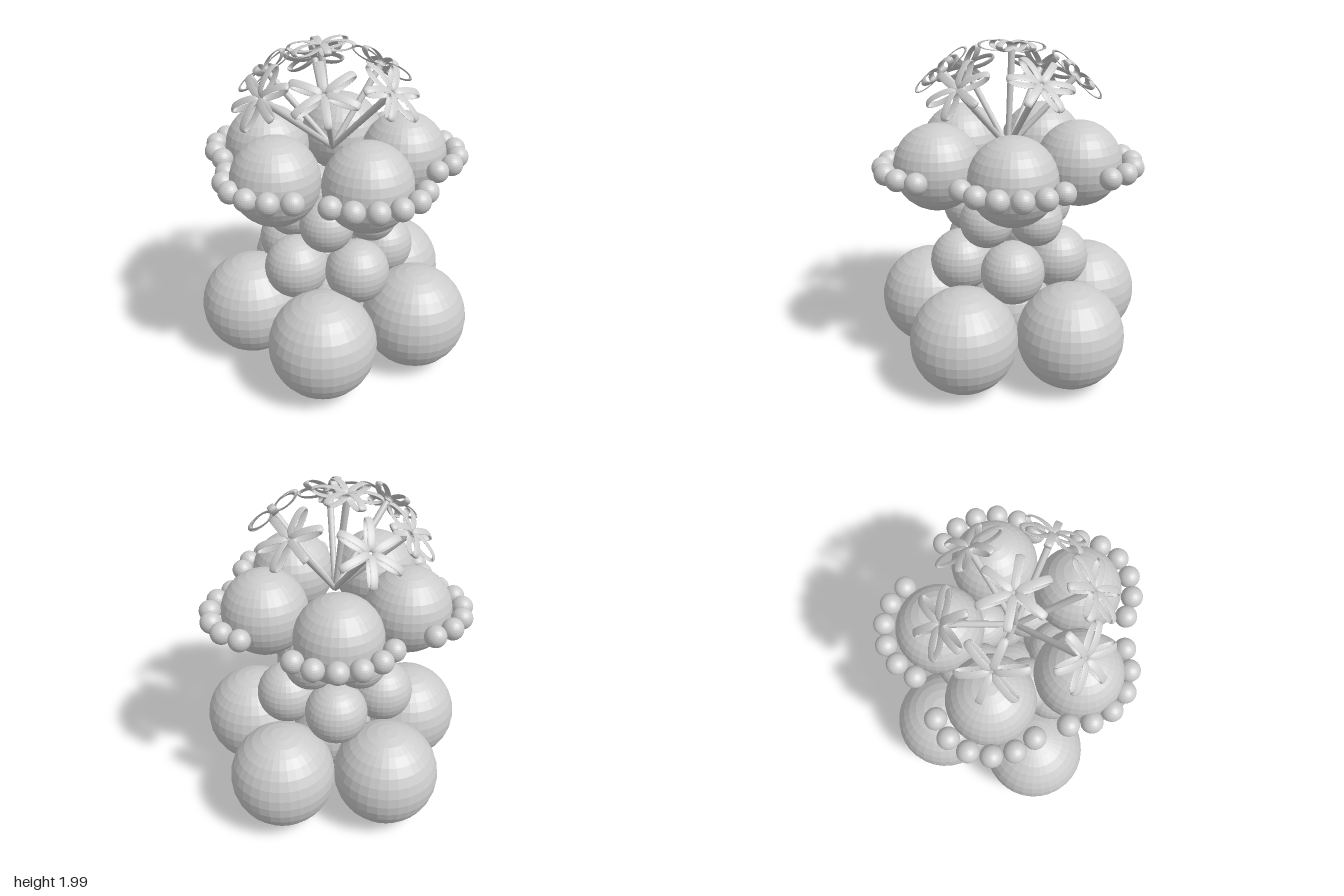
import * as THREE from 'three';

const material = new THREE.MeshStandardMaterial({ color: 0xcccccc, flatShading: true });
const smooth = new THREE.MeshStandardMaterial({ color: 0xcccccc });

function add(parent, name, geometry, mat, x = 0, y = 0, z = 0) {
  const mesh = new THREE.Mesh(geometry, mat);
  mesh.name = name;
  mesh.position.set(x, y, z);
  parent.add(mesh);
  return mesh;
}

// Five balls in a ring; facing +1 puts a single ball at the front, -1 at the back
function ballRing(name, radius, ringRadius, y, z, facing) {
  const ring = new THREE.Group();
  ring.name = name;
  const geometry = new THREE.SphereGeometry(radius, 32, 16);
  for (let i = 0; i < 5; i++) {
    const a = (i * Math.PI * 2) / 5;
    add(ring, 'ball', geometry, material,
      Math.sin(a) * ringRadius, y, z + facing * Math.cos(a) * ringRadius);
  }
  return ring;
}

// Arc of six beads, angle in degrees measured from +x towards +z
function beadArc(x, z, angle) {
  const arc = new THREE.Group();
  arc.name = 'beadArc';
  const geometry = new THREE.SphereGeometry(0.064, 32, 16);
  for (let i = 0; i < 6; i++) {
    const a = THREE.MathUtils.degToRad(angle + (i - 2.5) * 22.7);
    add(arc, 'bead', geometry, material,
      x + Math.cos(a) * 0.33, 1.29, z + Math.sin(a) * 0.33);
  }
  return arc;
}

// Flower head of six looped ribbon petals on a stem
const stemBase = new THREE.Vector3(0, 1.36, 0.05);
const petalGeometry = new THREE.TorusGeometry(1, 0.1, 10, 36);
petalGeometry.scale(0.088, 0.027, 0.22);
// The ring is flattened into a loop, so thicken its walls along the short axis
const pos = petalGeometry.attributes.position;
for (let i = 0; i < pos.count; i++) {
  pos.setY(i, pos.getY(i) * 1.05);
}
petalGeometry.computeVertexNormals();

function flower(x, y, z, turn) {
  const group = new THREE.Group();
  group.name = 'flower';
  const hub = new THREE.Vector3(x, y, z);
  const axis = hub.clone().sub(stemBase);
  const length = axis.length();
  axis.normalize();
  const up = new THREE.Vector3(0, 1, 0);

  const stem = add(group, 'stem', new THREE.CylinderGeometry(0.021, 0.016, length, 12), smooth);
  stem.position.copy(hub).add(stemBase).multiplyScalar(0.5);
  stem.quaternion.setFromUnitVectors(up, axis);

  const head = new THREE.Group();
  head.name = 'flowerHead';
  head.position.copy(hub);
  head.quaternion.setFromUnitVectors(up, axis);
  for (let i = 0; i < 6; i++) {
    const arm = new THREE.Group();
    arm.name = 'petalArm';
    arm.rotation.y = turn + (i * Math.PI) / 3;
    add(arm, 'petal', petalGeometry, smooth, 0.105, 0, 0);
    head.add(arm);
  }
  group.add(head);
  return group;
}

export function createModel() {
  const model = new THREE.Group();
  model.name = 'beadedVaseWithFlowers';

  // Stacked body, each tier turned against the next
  add(model, 'baseCore', new THREE.SphereGeometry(0.255, 32, 16), material, 0, 0.325, 0.03);
  model.add(ballRing('baseRing', 0.318, 0.535, 0.325, 0.02, -1));
  model.add(ballRing('lowerRing', 0.19, 0.31, 0.68, 0.047, 1));
  model.add(ballRing('neckRing', 0.16, 0.248, 0.97, 0.045, -1));
  model.add(ballRing('topRing', 0.255, 0.437, 1.29, 0.06, 1));

  // Bead garland around the top tier
  model.add(beadArc(0, 0.44, 90));
  for (const side of [1, -1]) {
    for (const [x, z, angle] of [[0.402, 0.189, 25.8], [0.244, -0.293, -44.6]]) {
      model.add(beadArc(side * x, z, side > 0 ? angle : 180 - angle));
    }
  }

  // Bouquet: x, y, z of each hub and the turn of its petals
  const flowers = [
    [-0.06, 1.95, 0.08, 0.48],
    [0.06, 1.8, -0.3, 0.52],
    [-0.36, 1.78, -0.16, 0.25],
    [0.4, 1.77, 0.0, 0.3],
    [-0.4, 1.77, 0.2, 0.2],
    [0.25, 1.81, 0.36, 0.35],
    [-0.06, 1.76, 0.53, 0.5],
  ];
  for (const f of flowers) model.add(flower(...f));

  return model;
}
